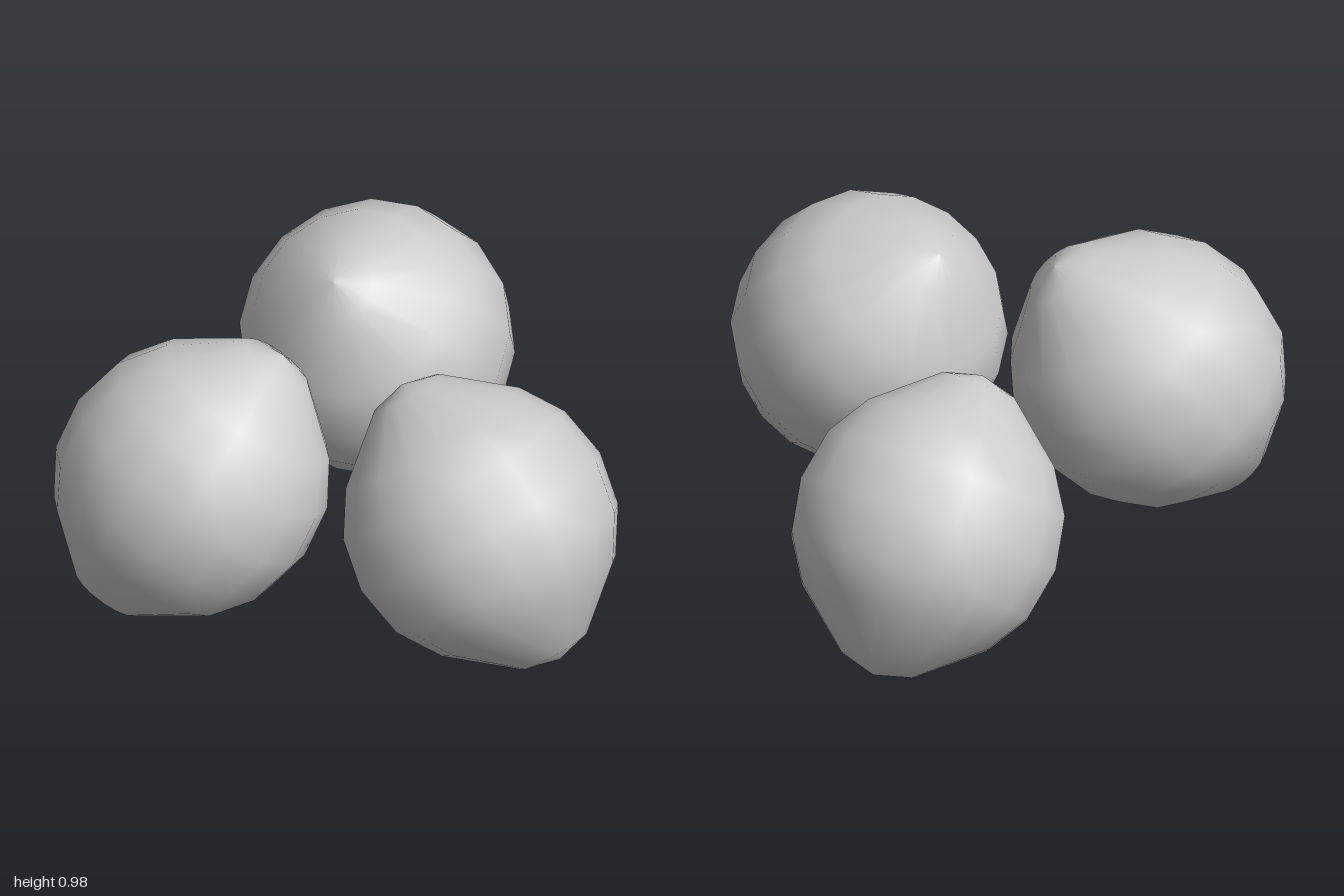
import * as THREE from 'three';

export function createModel() {
  const group = new THREE.Group();
  const material = new THREE.MeshStandardMaterial({ color: 0xcccccc });

  // Half profile of a ball drawn out into blunt tips: [radius, height]
  const half = [[0.44, 0], [0.408, 0.172], [0.32, 0.31], [0.122, 0.475], [0, 0.508]];
  const profile = [
    ...half.slice(1).reverse().map(([r, h]) => new THREE.Vector2(r, -h)),
    ...half.map(([r, h]) => new THREE.Vector2(r, h)),
  ];
  const geometry = new THREE.LatheGeometry(profile, 16);

  // Three equal balls, each leaning its own way
  const up = new THREE.Vector3(0, 1, 0);
  const addBall = (name, position, axis) => {
    const ball = new THREE.Mesh(geometry, material);
    ball.name = name;
    ball.position.set(...position);
    ball.quaternion.setFromUnitVectors(up, new THREE.Vector3(...axis).normalize());
    group.add(ball);
  };
  addBall('leftBall', [0.445, 0.5, 0.243], [-0.315, 0.4, -0.03]);
  addBall('frontRightBall', [-0.445, 0.535, 0.552], [0.2, 0.41, -0.23]);
  addBall('backRightBall', [-0.43, 0.455, -0.548], [0.03, 0.4, 0.315]);

  return group;
}
